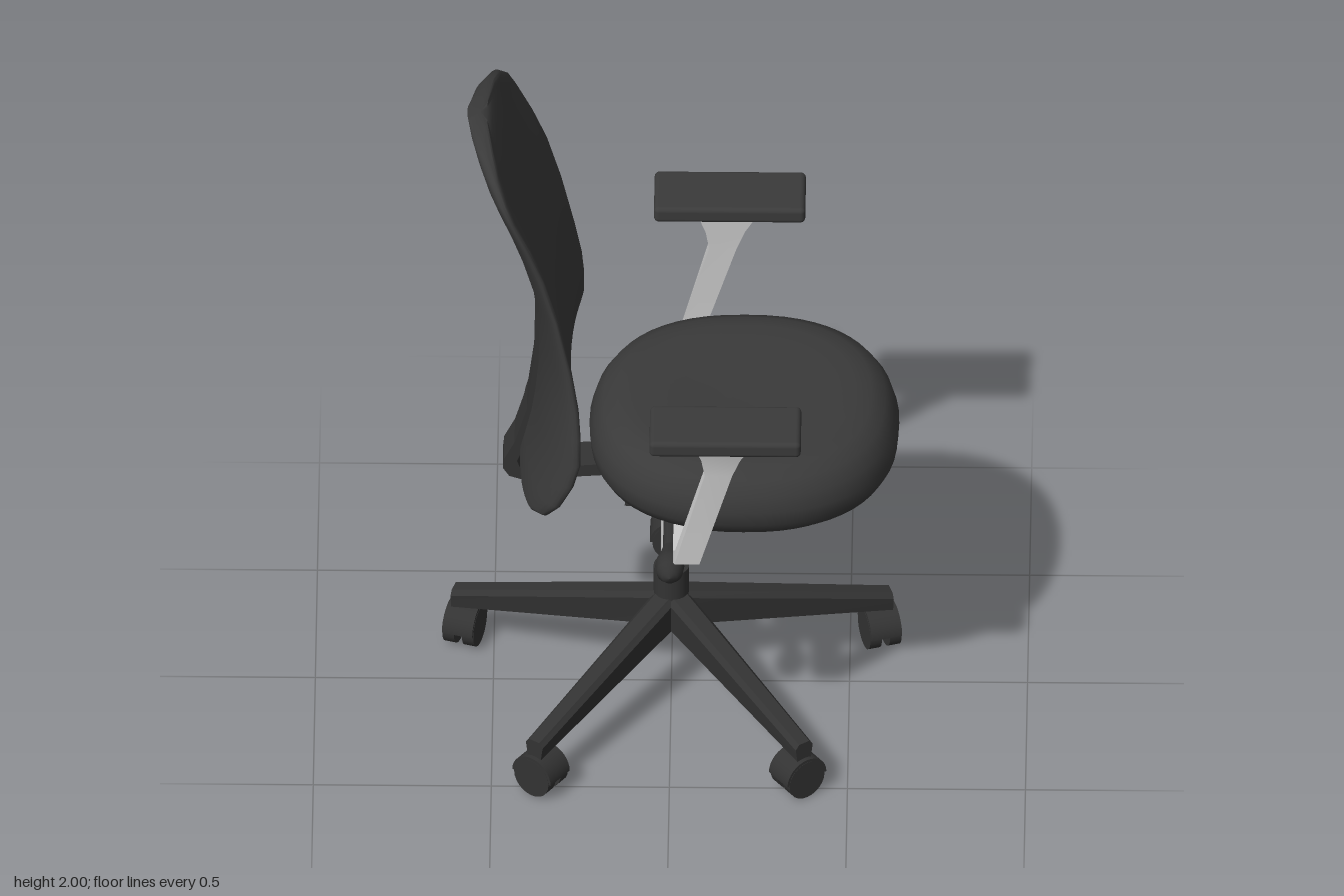
import * as THREE from 'three';
import { toCreasedNormals } from 'three/addons/utils/BufferGeometryUtils.js';
import { RoundedBoxGeometry } from 'three/addons/geometries/RoundedBoxGeometry.js';

const metal = new THREE.MeshStandardMaterial({ color: 0xcccccc });
const fabric = new THREE.MeshStandardMaterial({ color: 0x3a3a3a });
const plastic = new THREE.MeshStandardMaterial({ color: 0x333333 });
const hoodMat = new THREE.MeshStandardMaterial({ color: 0x333333, side: THREE.DoubleSide });

function add(parent, name, geometry, material, x = 0, y = 0, z = 0) {
  const mesh = new THREE.Mesh(geometry, material);
  mesh.name = name;
  mesh.position.set(x, y, z);
  parent.add(mesh);
  return mesh;
}

// Closed skin over a list of rings of [x, y, z], capped at both ends
function loft(rings, crease) {
  const n = rings[0].length, pos = rings.flat(2), idx = [];
  for (let r = 0; r < rings.length - 1; r++) {
    for (let i = 0; i < n; i++) {
      const a = r * n + i, b = r * n + (i + 1) % n;
      idx.push(a, b, a + n, b, b + n, a + n);
    }
  }
  [0, rings.length - 1].forEach((r) => {
    const c = pos.length / 3;
    for (let k = 0; k < 3; k++) pos.push(rings[r].reduce((s, p) => s + p[k], 0) / n);
    for (let i = 0; i < n; i++) {
      const a = r * n + i, b = r * n + (i + 1) % n;
      if (r === 0) idx.push(b, a, c); else idx.push(a, b, c);
    }
  });
  // Turn the faces outward whichever way the rings run
  const v = (i) => new THREE.Vector3().fromArray(pos, i * 3);
  let volume = 0;
  for (let i = 0; i < idx.length; i += 3) volume += v(idx[i]).dot(v(idx[i + 1]).cross(v(idx[i + 2])));
  if (volume < 0) idx.reverse();
  const g = new THREE.BufferGeometry();
  g.setAttribute('position', new THREE.Float32BufferAttribute(pos, 3));
  g.setIndex(idx);
  return toCreasedNormals(g, crease);
}

// Side profile in x, y given a width along z
function slab(points, width) {
  const shape = new THREE.Shape(points.map(([x, y]) => new THREE.Vector2(x, y)));
  const g = new THREE.ExtrudeGeometry(shape, { depth: width, bevelEnabled: false });
  return g.translate(0, 0, -width / 2);
}

const spow = (v, p) => Math.sign(v) * Math.abs(v) ** p;

function seatGeometry() {
  const profile = [[0.05, 1.015], [0.4, 1.018], [0.7, 1.028], [0.82, 1.02], [0.91, 1.0], [0.97, 0.96], [1, 0.915],
    [0.99, 0.87], [0.95, 0.838], [0.88, 0.826], [0.86, 0.805], [0.78, 0.783], [0.1, 0.775]];
  return loft(profile.map(([s, y]) => Array.from({ length: 56 }, (_, i) => {
    const a = i / 56 * Math.PI * 2;
    return [0.205 + 0.435 * s * spow(Math.cos(a), 0.86), y, 0.427 * s * spow(Math.sin(a), 0.86)];
  })), 0.7);
}

function backrestGeometry() {
  // height, front x, back x, half width, hollow of the front
  const rows = [[0.84, -0.365, -0.425, 0.32, 0.01], [0.865, -0.335, -0.424, 0.375, 0.02], [0.92, -0.3, -0.41, 0.41, 0.03],
    [1.0, -0.265, -0.392, 0.427, 0.035], [1.07, -0.247, -0.382, 0.425, 0.037], [1.15, -0.246, -0.374, 0.408, 0.036],
    [1.23, -0.251, -0.371, 0.386, 0.035], [1.34, -0.268, -0.373, 0.365, 0.033], [1.52, -0.306, -0.394, 0.35, 0.027],
    [1.66, -0.347, -0.435, 0.345, 0.022], [1.76, -0.387, -0.471, 0.34, 0.02], [1.85, -0.43, -0.506, 0.334, 0.017],
    [1.9, -0.453, -0.527, 0.318, 0.013], [1.95, -0.478, -0.549, 0.265, 0.01], [1.98, -0.495, -0.564, 0.19, 0.008],
    [2.0, -0.512, -0.573, 0.07, 0.005]];
  return loft(rows.map(([y, front, back, w, hollow]) => {
    const half = (front - hollow - back) / 2, mid = back + half;
    return Array.from({ length: 48 }, (_, i) => {
      const a = i / 48 * Math.PI * 2, u = spow(Math.cos(a), 0.75);
      const bend = (front - 0.015 - mid) * Math.abs(u) ** 3;
      return [mid + bend + half * spow(Math.sin(a), 0.8), y, w * u];
    });
  }), 1.0);
}

// Bent arm bracket: x range, outer z and y, inner z and y
function armGeometry(side) {
  const rows = [[0.01, 0.08, 0.2, 0.795, 0.2, 0.83], [0.01, 0.08, 0.505, 0.8, 0.49, 0.832],
    [0.015, 0.085, 0.545, 0.825, 0.513, 0.845], [0.1, 0.177, 0.55, 1.14, 0.51, 1.14],
    [0.09, 0.2, 0.557, 1.2, 0.507, 1.2], [0.06, 0.246, 0.58, 1.28, 0.503, 1.28]];
  return loft(rows.map(([x0, x1, zo, yo, zi, yi]) => [
    [x0, yo, zo * side], [x1, yo, zo * side], [x1, yi, zi * side], [x0, yi, zi * side]]), 0.4);
}

function legGeometry() {
  const rows = [[0, 0.22, 0.335, 0.038], [0.05, 0.215, 0.325, 0.038], [0.645, 0.125, 0.182, 0.029]];
  return loft(rows.map(([x, y0, y1, w]) => [
    [x, y0, -w * 0.8], [x, y1 - 0.015, -w], [x, y1, -w * 0.6], [x, y1, w * 0.6], [x, y1 - 0.015, w], [x, y0, w * 0.8]]), 0.4);
}

export function createModel() {
  const chair = new THREE.Group();
  chair.name = 'officeChair';
  chair.position.z = 0.008;

  // Five-legged base with twin-wheel casters
  for (let k = 0; k < 5; k++) {
    const leg = new THREE.Group();
    leg.name = 'baseLeg';
    leg.rotation.y = Math.PI / 2 + k * Math.PI * 2 / 5;
    add(leg, 'legBeam', legGeometry(), plastic);
    const hood = new THREE.CylinderGeometry(0.067, 0.067, 0.09, 16, 1, false, 0, Math.PI).rotateZ(Math.PI / 2);
    add(leg, 'casterHood', hood, hoodMat, 0.613, 0.062, 0);
    for (const s of [-1, 1]) {
      const wheel = new THREE.CylinderGeometry(0.06, 0.06, 0.034, 24).rotateZ(Math.PI / 2);
      add(leg, 'casterWheel', wheel, plastic, 0.613 + s * 0.029, 0.06, 0);
    }
    add(leg, 'casterStem', new THREE.CylinderGeometry(0.012, 0.012, 0.09, 12), plastic, 0.613, 0.1, 0);
    chair.add(leg);
  }

  // Central column
  add(chair, 'hub', new THREE.CylinderGeometry(0.05, 0.05, 0.19, 28), plastic, 0, 0.317, 0);
  add(chair, 'gasColumn', new THREE.CylinderGeometry(0.029, 0.029, 0.34, 28), metal, 0, 0.55, 0);

  // Tilt mechanism and its levers
  add(chair, 'tiltMechanism', slab([[-0.13, 0.69], [0.17, 0.675], [0.3, 0.765], [0.3, 0.81], [-0.1, 0.81]], 0.19), plastic);
  add(chair, 'leverRod', new THREE.CylinderGeometry(0.02, 0.02, 0.72, 16).rotateX(Math.PI / 2), plastic, 0, 0.705, 0);
  const knob = [[0.02, 0.31], [0.026, 0.335], [0.037, 0.37], [0.041, 0.395], [0.037, 0.425], [0.022, 0.447], [0, 0.455]];
  for (const s of [-1, 1]) {
    const g = new THREE.LatheGeometry(knob.map(([r, y]) => new THREE.Vector2(r, y)), 20).rotateX(s * Math.PI / 2);
    add(chair, 'leverKnob', g, plastic, 0, 0.705, 0);
  }

  // Bar that carries the backrest and runs up its rear
  add(chair, 'backrestBar', slab([[-0.08, 0.775], [-0.42, 0.75], [-0.455, 0.762], [-0.473, 0.79], [-0.47, 0.82], [-0.44, 0.88],
    [-0.405, 1.0], [-0.386, 1.15], [-0.383, 1.3], [-0.375, 1.35], [-0.355, 1.35], [-0.35, 1.15], [-0.37, 1.0], [-0.41, 0.87],
    [-0.433, 0.815], [-0.425, 0.792], [-0.4, 0.788], [-0.08, 0.815]], 0.11), plastic);

  add(chair, 'backrest', backrestGeometry(), fabric);
  add(chair, 'seat', seatGeometry(), fabric);

  // Armrests
  for (const s of [-1, 1]) {
    add(chair, 'armBracket', armGeometry(s), metal);
    add(chair, 'armPad', new RoundedBoxGeometry(0.425, 0.05, 0.185, 3, 0.014), fabric, 0.158, 1.294, s * 0.547);
  }
  return chair;
}
